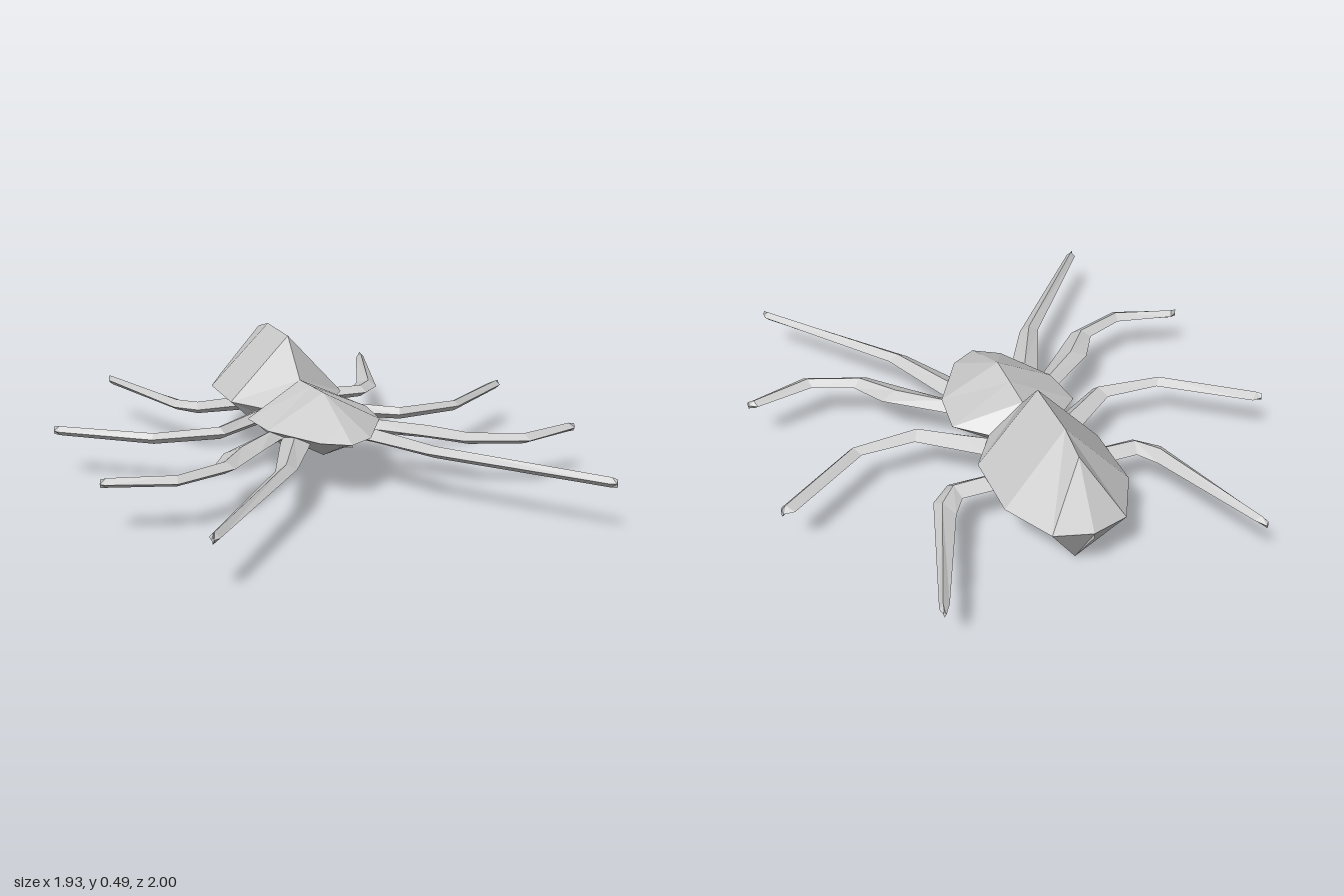
import * as THREE from 'three';

const material = new THREE.MeshStandardMaterial({ color: 0xcccccc, flatShading: true });

// Skin four-cornered rings into a closed faceted solid, facing outwards
function loft(name, rings) {
  const tris = [];
  const quad = (a, b, c, d) => tris.push([a, b, c], [a, c, d]);
  for (let i = 0; i < rings.length - 1; i++) {
    for (let j = 0; j < 4; j++) {
      const k = (j + 1) % 4;
      // split the quads symmetrically about the top and bottom ridges
      if (j % 2) quad(rings[i][j], rings[i][k], rings[i + 1][k], rings[i + 1][j]);
      else quad(rings[i][k], rings[i + 1][k], rings[i + 1][j], rings[i][j]);
    }
  }
  const last = rings[rings.length - 1];
  quad(...[...rings[0]].reverse());
  quad(...last);
  const v = (p) => new THREE.Vector3(...p);
  let volume = 0;
  for (const [a, b, c] of tris) volume += v(a).dot(v(b).cross(v(c)));
  const points = tris
    .map((t) => (volume < 0 ? [t[0], t[2], t[1]] : t))
    .filter(([a, b, c]) => v(b).sub(v(a)).cross(v(c).sub(v(a))).length() > 1e-7)
    .flat(2);
  const geometry = new THREE.BufferGeometry();
  geometry.setAttribute('position', new THREE.Float32BufferAttribute(points, 3));
  geometry.computeVertexNormals();
  const mesh = new THREE.Mesh(geometry, material);
  mesh.name = name;
  return mesh;
}

// Body station: side corner (x, z), top ridge (y, z), bottom keel (y, z)
const SIDE_Y = 0.23;
const bodyRing = ([x, z, topY, topZ, lowY, lowZ]) => [
  [x, SIDE_Y, z], [0, topY, topZ], [-x, SIDE_Y, z], [0, lowY, lowZ],
];

const ABDOMEN = [
  [0.14, -0.2, 0.34, -0.19, 0.12, -0.19],
  [0.24, -0.35, 0.49, -0.33, 0, -0.33],
  [0.24, -0.62, 0.49, -0.58, 0, -0.56],
  [0.14, -0.81, 0.455, -0.7, 0, -0.7],
  [0, -0.85, 0.23, -0.85, 0.21, -0.85],
];

const THORAX = [
  [0.14, -0.2, 0.34, -0.19, 0.12, -0.19],
  [0.25, -0.1, 0.348, -0.06, 0.113, -0.06],
  [0.23, 0.08, 0.355, 0.07, 0.105, 0.07],
  [0.1, 0.3, 0.275, 0.26, 0.19, 0.25],
  [0, 0.36, 0.23, 0.36, 0.22, 0.36],
];

// Leg outlines: [front edge x, z, back edge x, z], from body to tip;
// ridge is where the crest lies between the two edges
const LEGS = [
  { name: 'frontLeg', ridge: 0.5, outline: [
    [0.07, 0.14, 0.15, 0.05], [0.13, 0.25, 0.2, 0.14], [0.25, 0.46, 0.33, 0.45],
    [0.695, 0.985, 0.725, 0.96], [0.718, 0.995, 0.725, 0.99]] },
  { name: 'secondLeg', ridge: 0.5, outline: [
    [0.1, 0.05, 0.14, -0.04], [0.19, 0.11, 0.24, 0.04], [0.31, 0.23, 0.44, 0.195],
    [0.45, 0.375, 0.515, 0.32], [0.685, 0.46, 0.67, 0.385],
    [0.92, 0.38, 0.9, 0.335], [0.935, 0.365, 0.93, 0.355]] },
  { name: 'thirdLeg', ridge: 0.35, outline: [
    [0.12, -0.19, 0.13, -0.31], [0.24, -0.11, 0.19, -0.265], [0.365, -0.03, 0.4, -0.1],
    [0.645, -0.06, 0.61, -0.105], [0.96, -0.29, 0.92, -0.33],
    [0.967, -0.315, 0.96, -0.328]] },
  { name: 'backLeg', ridge: 0.4, outline: [
    [0.12, -0.385, 0.12, -0.475], [0.24, -0.385, 0.24, -0.475],
    [0.37, -0.385, 0.345, -0.475], [0.45, -0.46, 0.395, -0.55],
    [0.605, -0.97, 0.565, -0.96], [0.6, -0.995, 0.59, -1]] },
];

function leg({ name, ridge, outline }, side) {
  const rings = outline.map(([fx, fz, bx, bz], i) => {
    const h = THREE.MathUtils.lerp(0.03, 0.015, i / (outline.length - 1));
    const x = side * THREE.MathUtils.lerp(fx, bx, ridge);
    const z = THREE.MathUtils.lerp(fz, bz, ridge);
    return [[side * fx, 0.2, fz], [x, 0.2 + h, z], [side * bx, 0.2, bz], [x, 0.2 - h, z]];
  });
  return loft(name + (side > 0 ? 'Left' : 'Right'), rings);
}

export function createModel() {
  const model = new THREE.Group();
  model.name = 'spider';
  model.add(loft('abdomen', ABDOMEN.map(bodyRing)));
  model.add(loft('thorax', THORAX.map(bodyRing)));
  for (const side of [1, -1]) for (const spec of LEGS) model.add(leg(spec, side));
  return model;
}
